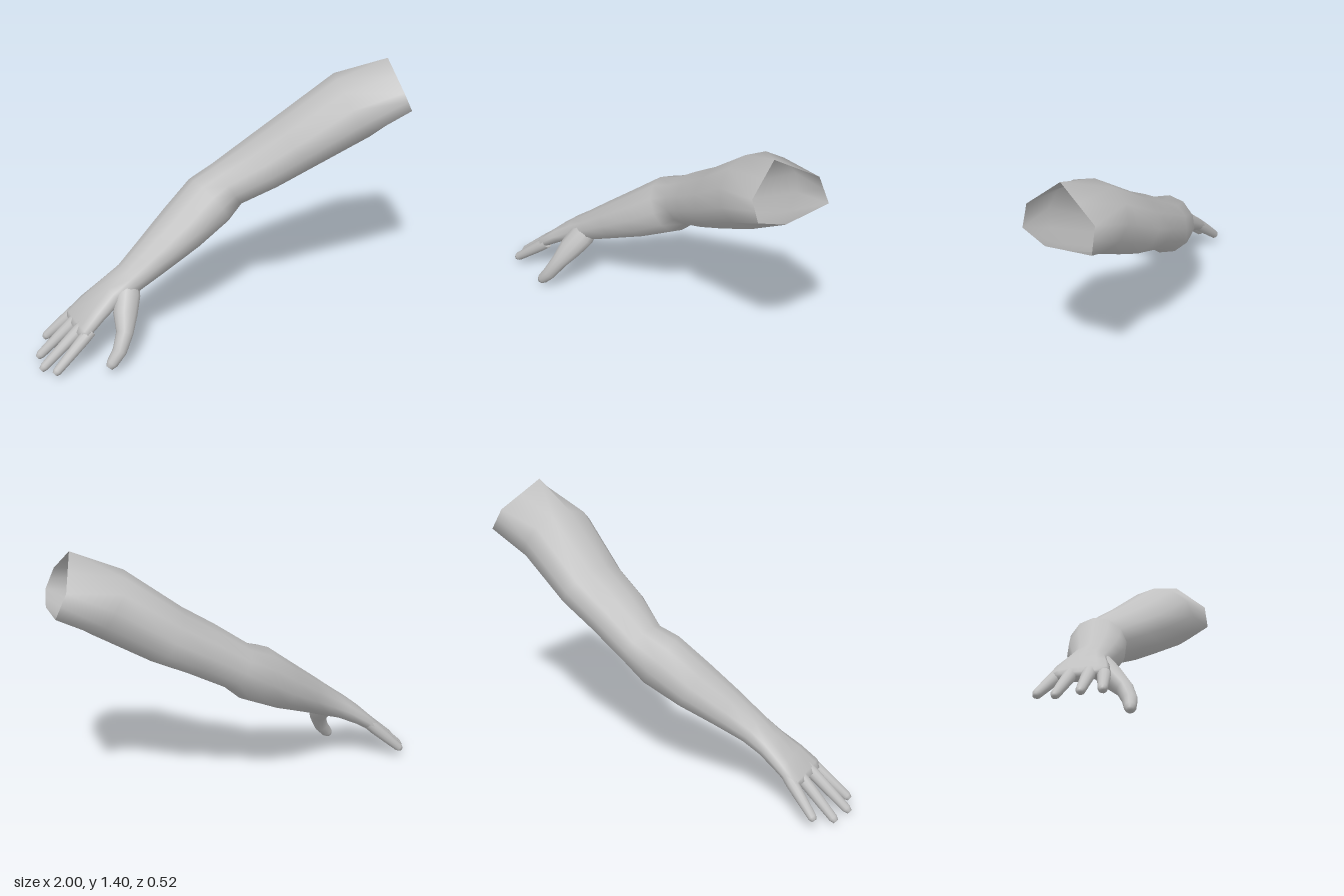
import * as THREE from 'three';

const SIDES = 12;
const skin = new THREE.MeshStandardMaterial({ color: 0xc0c0c0, side: THREE.DoubleSide });
skin.name = 'plain grey';

// Lofts smooth skin over sections [x, y, z, halfHeight, halfWidth, roundness].
// firstRing optionally replaces the first section with explicit points.
function loft(name, sections, firstRing) {
  const centres = sections.map(s => new THREE.Vector3(s[0], s[1], s[2]));
  const pos = [], index = [];
  const last = sections.length - 1;
  sections.forEach(([, , , h, w, e = 1], i) => {
    const t = centres[Math.min(i + 1, last)].clone().sub(centres[Math.max(i - 1, 0)]).normalize();
    const b = new THREE.Vector3(0, 0, 1).addScaledVector(t, -t.z).normalize();
    const n = t.clone().cross(b);
    for (let j = 0; j < SIDES; j++) {
      const a = (j / SIDES) * Math.PI * 2;
      const soft = v => Math.sign(v) * Math.pow(Math.abs(v), e);
      const p = i === 0 && firstRing
        ? firstRing[j]
        : centres[i].clone().addScaledVector(n, h * soft(Math.cos(a))).addScaledVector(b, w * soft(Math.sin(a)));
      pos.push(p.x, p.y, p.z);
    }
  });
  for (let i = 0; i < last; i++) {
    for (let j = 0; j < SIDES; j++) {
      const k = (j + 1) % SIDES;
      const a = i * SIDES + j, b = i * SIDES + k;
      index.push(a, a + SIDES, b, b, a + SIDES, b + SIDES);
    }
  }
  // closed far end
  const c = centres[last];
  pos.push(c.x, c.y, c.z);
  for (let j = 0; j < SIDES; j++) {
    index.push((last + 1) * SIDES, last * SIDES + (j + 1) % SIDES, last * SIDES + j);
  }
  const geo = new THREE.BufferGeometry();
  geo.setAttribute('position', new THREE.Float32BufferAttribute(pos, 3));
  geo.setIndex(index);
  geo.computeVertexNormals();
  const mesh = new THREE.Mesh(geo, skin);
  mesh.name = name;
  return mesh;
}

export function createModel() {
  const group = new THREE.Group();
  group.name = 'arm';

  // six-cornered open rim at the shoulder, with edge midpoints
  const corners = [
    [0.84, 1.41, 0.095], [0.86, 1.28, 0.25], [0.905, 1.18, 0.255],
    [0.955, 1.14, 0.13], [1.0, 1.17, -0.105], [0.94, 1.285, -0.10],
  ].map(p => new THREE.Vector3(...p));
  const rim = corners.flatMap((p, i) => [p, p.clone().lerp(corners[(i + 1) % 6], 0.5)]);

  // upper arm, elbow, forearm, wrist and palm
  group.add(loft('armAndPalm', [
    [0.92, 1.27, 0.075, 0.15, 0.17],
    [0.69, 1.155, 0.025, 0.172, 0.21],
    [0.42, 0.965, -0.055, 0.15, 0.185],
    [0.25, 0.865, -0.08, 0.137, 0.17],
    [0.08, 0.757, -0.125, 0.122, 0.136],
    [-0.025, 0.69, -0.11, 0.145, 0.145],
    [-0.19, 0.58, -0.07, 0.125, 0.143],
    [-0.355, 0.478, -0.03, 0.1, 0.118],
    [-0.49, 0.393, -0.003, 0.079, 0.097],
    [-0.59, 0.338, 0.0, 0.06, 0.1, 0.9],
    [-0.69, 0.27, 0.012, 0.045, 0.126, 0.8],
    [-0.77, 0.205, 0.022, 0.034, 0.142, 0.7],
    [-0.79, 0.187, 0.022, 0.022, 0.13, 0.7],
  ], rim));

  // four fingers: base and tip
  const fingers = {
    indexFinger: [[-0.74, 0.215, 0.13], [-0.945, 0.04, 0.182]],
    middleFinger: [[-0.74, 0.235, 0.068], [-0.99, 0.022, 0.094]],
    ringFinger: [[-0.74, 0.235, -0.015], [-0.975, 0.022, -0.025]],
    littleFinger: [[-0.73, 0.235, -0.083], [-0.91, 0.062, -0.132]],
  };
  for (const [name, [base, tip]] of Object.entries(fingers)) {
    const rows = [[0, 0.03], [0.2, 0.031], [0.55, 0.027], [0.93, 0.022], [1, 0.014]];
    group.add(loft(name, rows.map(([f, r]) =>
      [...base.map((v, i) => v + (tip[i] - v) * f), r, r])));
  }

  // thumb with its fleshy root
  group.add(loft('thumb', [
    [-0.50, 0.39, 0.02, 0.05, 0.05],
    [-0.525, 0.335, 0.06, 0.068, 0.06],
    [-0.555, 0.265, 0.12, 0.062, 0.055],
    [-0.58, 0.195, 0.18, 0.043, 0.042],
    [-0.62, 0.12, 0.215, 0.036, 0.036],
    [-0.665, 0.065, 0.228, 0.029, 0.028],
    [-0.682, 0.047, 0.232, 0.018, 0.018],
  ]));

  return group;
}
